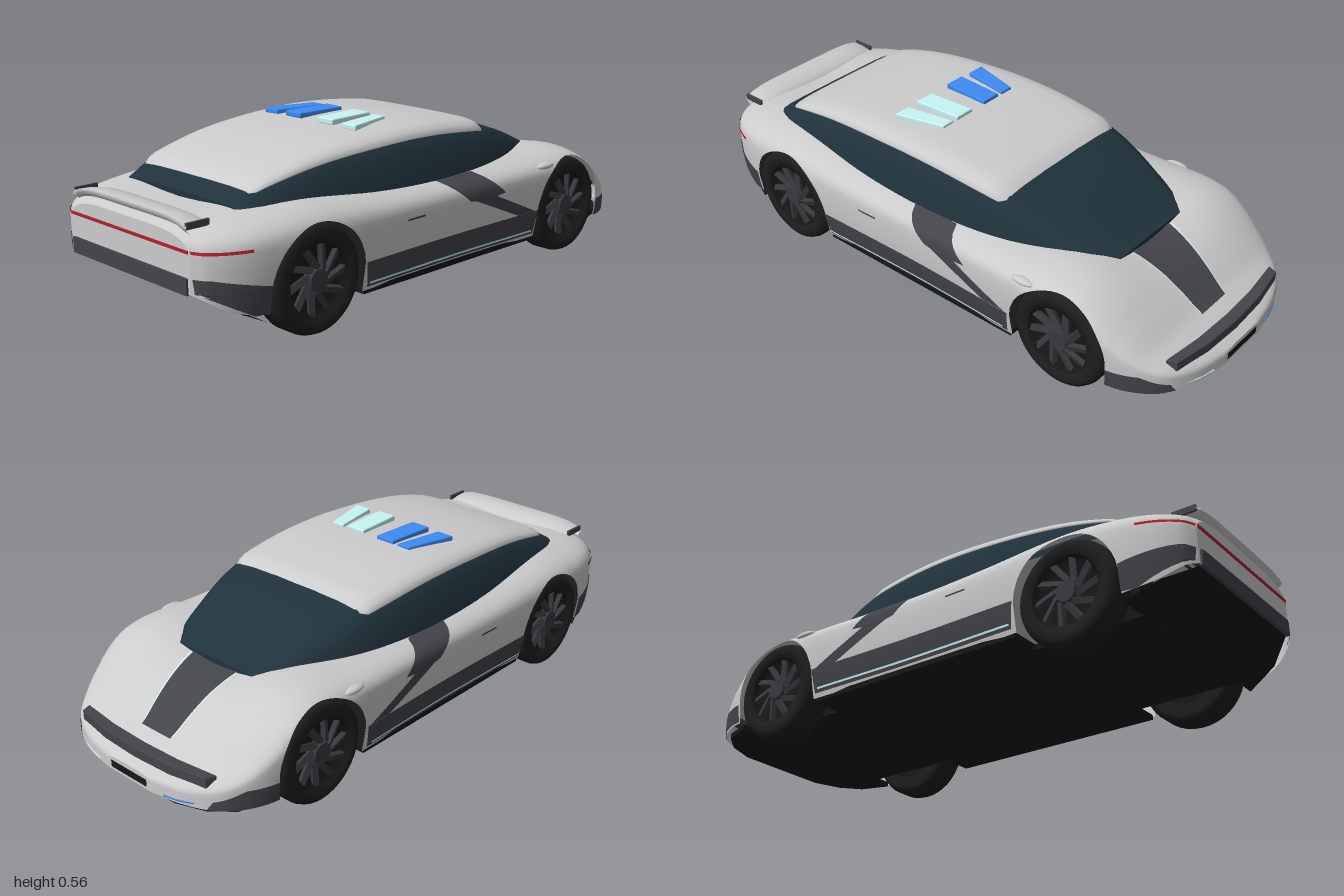
import * as THREE from 'three';

const mat = (color) => new THREE.MeshStandardMaterial({ color, side: THREE.DoubleSide });
const PAINT = mat(0xe6e6e8), GLASS = mat(0x20323c), DARK = mat(0x44454b), BLACK = mat(0x171717);
const RUBBER = mat(0x1e1e1e), RIM = mat(0x38393d), TEAL = mat(0xc8f6f6), BLUE = mat(0x3c8cf6), RED = mat(0xb02030);

// smooth curve through [x, y] pairs, read as y(x)
function curve(p) {
  const m = p.map((_, i) => {
    const a = p[Math.max(i - 1, 0)], b = p[Math.min(i + 1, p.length - 1)];
    return (b[1] - a[1]) / (b[0] - a[0]);
  });
  return (x) => {
    let i = 0;
    while (i < p.length - 2 && x > p[i + 1][0]) i++;
    const d = p[i + 1][0] - p[i][0], t = THREE.MathUtils.clamp((x - p[i][0]) / d, 0, 1);
    const t2 = t * t, t3 = t2 * t;
    return (2 * t3 - 3 * t2 + 1) * p[i][1] + (t3 - 2 * t2 + t) * d * m[i]
      + (3 * t2 - 2 * t3) * p[i + 1][1] + (t3 - t2) * d * m[i + 1];
  };
}

// surface through a grid of points; rows run along u, columns along v
function surface(rows, caps = false) {
  const n = rows[0].length, pos = rows.flat(2), idx = [];
  for (let i = 0; i < rows.length - 1; i++) for (let j = 0; j < n - 1; j++) {
    const a = i * n + j, b = a + n;
    idx.push(a, b, a + 1, b, b + 1, a + 1);
  }
  if (caps) for (const [row, flip] of [[rows[0], false], [rows[rows.length - 1], true]]) {
    const s = pos.length / 3;
    pos.push(...row.flat());
    for (let j = 0; j < n / 2 - 1; j++) {
      const a = s + j, b = s + n - 1 - j;
      if (flip) idx.push(a, b, a + 1, b, b - 1, a + 1);
      else idx.push(a, a + 1, b, b, a + 1, b - 1);
    }
  }
  const g = new THREE.BufferGeometry();
  g.setAttribute('position', new THREE.Float32BufferAttribute(pos, 3));
  g.setIndex(idx);
  g.computeVertexNormals();
  return g;
}

// body rules along the length
const N = 3.4, AXLES = [-0.61, 0.59], WHEEL_R = 0.172, ARCH_R = 0.181;
const width = curve([[-0.99, 0.3], [-0.97, 0.34], [-0.9, 0.39], [-0.8, 0.42], [-0.6, 0.435], [0, 0.428], [0.45, 0.437],
  [0.65, 0.436], [0.8, 0.41], [0.9, 0.355], [0.95, 0.29], [0.985, 0.19], [0.998, 0.1]]);
const top = curve([[-0.99, 0.365], [-0.95, 0.382], [-0.8, 0.405], [-0.6, 0.418], [-0.3, 0.395], [0, 0.385], [0.4, 0.388],
  [0.55, 0.392], [0.65, 0.377], [0.73, 0.338], [0.81, 0.275], [0.87, 0.22], [0.92, 0.19], [0.998, 0.145]]);
const waist = curve([[-0.99, 0.28], [0.5, 0.285], [0.65, 0.285], [0.73, 0.25], [0.8, 0.2], [0.9, 0.155], [0.998, 0.12]]);
const dip = curve([[-0.99, 0.005], [-0.8, 0.02], [-0.4, 0.02], [0.4, 0.038], [0.65, 0.04], [0.8, 0.014], [0.9, 0], [0.998, 0]]);
const sill = curve([[-0.99, 0.19], [-0.9, 0.135], [-0.78, 0.11], [-0.6, 0.095], [0, 0.09], [0.998, 0.095]]);
const lowerEdge = (x) => AXLES.reduce((y, c) => {
  const d = ARCH_R ** 2 - (x - c) ** 2;
  return d > 0 ? Math.max(y, 0.17 + Math.sqrt(d)) : y;
}, sill(x));
const sideZ = (x, y) => {
  const m = waist(x);
  if (y < m) return width(x) * (1 - 1.5 * (m - y) ** 2);
  return width(x) * Math.max(0, 1 - ((y - m) / (top(x) - m)) ** N) ** (1 / N);
};
const hollow = (x, z) => dip(x) * Math.cos(Math.PI / 2 * Math.min(1, Math.abs(z) / (0.75 * width(x)))) ** 2;
const deckY = (x, z) => waist(x) + (top(x) - waist(x)) * Math.max(0, 1 - Math.abs(z / width(x)) ** N) ** (1 / N) - hollow(x, z);
const mirrorRow = (half) => [...half, ...half.slice(0, -1).reverse().map(([x, y, z]) => [x, y, -z])];

function bodyGeometry() {
  const xs = Array.from({ length: 141 }, (_, i) => -0.99 + 1.988 * i / 140);
  for (const c of AXLES) for (const s of [-1, 1]) for (const k of [0.97, 0.995, 0.9999, 1.0001]) xs.push(c + s * k * ARCH_R);
  xs.sort((a, b) => a - b);
  return surface(xs.map((x) => {
    const lo = lowerEdge(x), m = waist(x), t = top(x), y1 = Math.max(lo + 0.015, m), half = [];
    for (let i = 0; i < 8; i++) { const y = lo + (y1 - lo) * i / 8; half.push([x, y, sideZ(x, y)]); }
    const a0 = Math.asin(Math.min(1, ((y1 - m) / (t - m)) ** (N / 2)));
    for (let i = 0; i <= 20; i++) {
      const a = a0 + (Math.PI / 2 - a0) * i / 20, z = i === 20 ? 0 : width(x) * Math.cos(a) ** (2 / N);
      half.push([x, m + (t - m) * Math.sin(a) ** (2 / N) - hollow(x, z), z]);
    }
    return mirrorRow(half);
  }), true);
}

// cabin rules
const cabTop = curve([[-0.8, 0.404], [-0.72, 0.448], [-0.5, 0.505], [-0.2, 0.533], [0, 0.533], [0.2, 0.513], [0.27, 0.498], [0.4, 0.457], [0.63, 0.362]]);
const cabBase = curve([[-0.8, 0.37], [0, 0.355], [0.63, 0.325]]);
const cabWidth = curve([[-0.8, 0.3], [-0.7, 0.325], [-0.5, 0.345], [-0.2, 0.362], [0.1, 0.36], [0.3, 0.34], [0.45, 0.3], [0.63, 0.235]]);
const cabin = (x0, x1, profile, push) => surface(Array.from({ length: 41 }, (_, i) => {
  const u = i / 40, x = x0 + (x1 - x0) * u, p = push * Math.min(1, Math.min(u, 1 - u) * 25) ** 0.5;
  return mirrorRow(profile.map(([k, h]) =>
    [x, cabBase(x) + (cabTop(x) - cabBase(x)) * h + p * h, cabWidth(x) * k + p * k]));
}), true);

// patch lying on a body side, given rows [y, x0, x1]; s = 1 left, -1 right
const sidePatch = (rows, s, off = 0.004) => {
  const out = [], K = 6, M = 16, n = (rows.length - 1) * K;
  for (let i = 0; i <= M; i++) out.push(Array.from({ length: n + 1 }, (_, j) => {
    const r = Math.min(Math.floor(j / K), rows.length - 2), f = j / K - r, u = s > 0 ? i / M : 1 - i / M;
    const [y, a, b] = rows[r].map((q, k) => q + (rows[r + 1][k] - q) * f), x = a + (b - a) * u;
    return [x, y, s * (sideZ(x, y) + off)];
  }));
  return surface(out);
};
// patch lying on the bonnet between z edges za(u) and zb(u)
const bonnetPatch = (x0, x1, za, zb, off) => surface(Array.from({ length: 17 }, (_, i) =>
  Array.from({ length: 9 }, (_, j) => {
    const u = i / 16, x = x0 + (x1 - x0) * u, z = za(u) + (zb(u) - za(u)) * j / 8;
    return [x, deckY(x, z) + off, z];
  })));
// plate cut from an [x, z] outline
const plate = (pts, y, h, bevel = 0) => new THREE.ExtrudeGeometry(new THREE.Shape(pts.map(([x, z]) => new THREE.Vector2(x, -z))),
  { depth: h, bevelEnabled: bevel > 0, bevelSize: bevel, bevelThickness: bevel, bevelSegments: 2 }).rotateX(-Math.PI / 2).translate(0, y, 0);

function wheel() {
  const g = new THREE.Group();
  const lathe = (pts) => new THREE.LatheGeometry(pts.map(([r, y]) => new THREE.Vector2(r, y)), 40).rotateX(Math.PI / 2);
  const put = (name, geo, m) => { const o = new THREE.Mesh(geo, m); o.name = name; g.add(o); };
  put('tyre', lathe([[0.11, -0.055], [0.15, -0.057], [0.166, -0.048], [WHEEL_R, -0.03], [WHEEL_R, 0.03], [0.166, 0.046], [0.15, 0.055], [0.118, 0.053], [0.112, 0.03]]), RUBBER);
  put('rimDish', lathe([[0, 0.025], [0.1, 0.02], [0.113, 0.05], [0.12, 0.053]]), BLACK);
  put('innerFace', new THREE.CircleGeometry(0.115, 32).rotateY(Math.PI).translate(0, 0, -0.052), BLACK);
  put('hub', new THREE.CylinderGeometry(0.034, 0.042, 0.03, 20).rotateX(Math.PI / 2).translate(0, 0, 0.037), RIM);
  for (let i = 0; i < 10; i++)
    put('spoke', new THREE.BoxGeometry(0.085, 0.02, 0.016).rotateX(0.35).rotateZ(0.35).translate(0.072, 0, 0.037).rotateZ(i * Math.PI / 5), RIM);
  return g;
}

export function createModel() {
  const car = new THREE.Group();
  car.name = 'car';
  const add = (name, geo, m) => { const o = new THREE.Mesh(geo, m); o.name = name; car.add(o); return o; };
  const box = (name, w, h, d, x, y, z, m) => add(name, new THREE.BoxGeometry(w, h, d).translate(x, y, z), m);

  add('bodyShell', bodyGeometry(), PAINT);
  add('glassCanopy', cabin(-0.8, 0.635, [[1, 0], [0.97, 0.3], [0.92, 0.6], [0.86, 0.82], [0.77, 0.93], [0.55, 0.985], [0.25, 1], [0, 1]], 0), GLASS);
  add('roof', cabin(-0.74, 0.275, [[0.8, 0.72], [0.83, 0.73], [0.838, 0.78], [0.81, 0.87], [0.75, 0.94], [0.64, 0.98], [0.4, 0.995], [0, 1]], 0.013), PAINT);

  // underbody with wheel notches, rising to the tail
  const half = [[0.975, 0.18], [0.94, 0.28], [0.88, 0.35], [0.775, 0.385], [0.775, 0.3], [0.4, 0.3], [0.4, 0.41],
    [-0.42, 0.41], [-0.42, 0.3], [-0.8, 0.3]];
  add('floor', plate([...half, ...half.map(([x, z]) => [x, -z]).reverse()], 0.08, 0.018), BLACK);
  add('rearDiffuser', surface([[-0.99, 0.192], [-0.9, 0.137], [-0.795, 0.085]].map(([x, y]) =>
    [1, -1].map((s) => [x, y, s * (width(x) - 0.02)]))), BLACK);

  // wheels, each in a flat-bottomed well
  const well = new THREE.Shape().absarc(0, 0, ARCH_R + 0.002, -0.44, Math.PI + 0.44, false);
  for (const c of AXLES) for (const s of [1, -1]) {
    add('wheelWell', new THREE.ExtrudeGeometry(well, { depth: 0.12, bevelEnabled: false, curveSegments: 32 })
      .translate(c, 0.17, s > 0 ? 0.18 : -0.3), BLACK);
    const w = wheel();
    w.name = (c > 0 ? 'front' : 'rear') + 'Wheel';
    w.position.set(c, WHEEL_R, s * 0.366);
    if (s < 0) w.rotation.y = Math.PI;
    car.add(w);
  }

  // trim on both sides
  for (const s of [1, -1]) {
    add('sideStripe', sidePatch([[0.19, 0.3, 0.39], [0.283, 0.08, 0.18], [0.288, 0.05, 0.225], [0.365, -0.05, 0.13]], s), DARK);
    add('sideSkirt', sidePatch([[0.105, -0.415, 0.395], [0.19, -0.428, 0.404]], s, 0.005), DARK);
    add('sillLight', sidePatch([[0.115, -0.41, 0.38], [0.122, -0.41, 0.38]], s, 0.009), TEAL);
    add('rearBumperSide', sidePatch([[0.195, -0.985, -0.792], [0.2, -0.985, -0.792], [0.238, -0.988, -0.96]], s), DARK);
    add('rearBumperLower', sidePatch([[0.115, -0.84, -0.792], [0.195, -0.985, -0.792]], s), DARK);
    add('tailLightSide', sidePatch([[0.31, -0.989, -0.85], [0.319, -0.989, -0.85]], s, 0.005), RED);
    add('frontBumperCorner', sidePatch([[0.096, 0.77, 0.95], [0.125, 0.773, 0.94], [0.16, 0.773, 0.87]], s), DARK);
    add('doorHandle', sidePatch([[0.283, -0.25, -0.17], [0.289, -0.25, -0.17]], s), DARK);
    const mirror = add('sideMirror', new THREE.SphereGeometry(1, 20, 12), PAINT);
    mirror.scale.set(0.042, 0.012, 0.016);
    mirror.position.set(0.455, 0.338, s * 0.422);
    add('bonnetLight', bonnetPatch(0.64, 0.88, (u) => s * (0.104 - 0.036 * u) - 0.002, (u) => s * (0.104 - 0.036 * u) + 0.002, 0.005), TEAL);
    add('frontLight', new THREE.TubeGeometry(new THREE.CatmullRomCurve3([[0.945, 0.112, 0.29], [0.975, 0.106, 0.22], [0.99, 0.102, 0.15]]
      .map(([x, y, z]) => new THREE.Vector3(x, y, s * z))), 10, 0.004, 6), s > 0 ? TEAL : BLUE);
    // roof lights
    const lamp = s > 0 ? TEAL : BLUE;
    add('outerRoofLight', plate([[-0.265, s * 0.16], [-0.265, s * 0.215], [-0.095, s * 0.17], [-0.095, s * 0.128]], 0.542, 0.011, 0.004), lamp);
    add('innerRoofLight', plate([[-0.265, s * 0.045], [-0.265, s * 0.11], [-0.095, s * 0.1], [-0.095, s * 0.035]], 0.545, 0.012, 0.004), lamp);
    box('wingEnd', 0.08, 0.02, 0.008, -0.945, 0.385, s * 0.281, DARK);
  }

  // front and rear details
  add('bonnetStripe', bonnetPatch(0.62, 0.885, (u) => 0.102 - 0.036 * u, (u) => -0.102 + 0.036 * u, 0.004), DARK);
  add('frontBar', plate([[0.912, 0.295], [0.94, 0.285], [0.963, 0.15], [0.97, 0], [0.963, -0.15], [0.94, -0.285], [0.912, -0.295],
    [0.93, -0.15], [0.935, 0], [0.93, 0.15]], 0.165, 0.03, 0.003), DARK);
  box('frontPlate', 0.012, 0.024, 0.165, 0.993, 0.117, 0, BLACK);
  // wing with ends curving down into the tail
  add('rearWing', surface([[-0.89, 0.38], [-0.905, 0.396], [-0.945, 0.404], [-0.985, 0.406], [-0.992, 0.396], [-0.97, 0.38]].map(([x, y]) =>
    Array.from({ length: 21 }, (_, i) => { const v = 1 - i / 10; return [x, y - 0.022 * v ** 6, -0.285 * v]; }))), PAINT);
  add('rearLip', plate([[-0.999, 0.28], [-0.94, 0.31], [-0.94, -0.31], [-0.999, -0.28]], 0.228, 0.01), DARK);
  box('rearBumper', 0.012, 0.05, 0.58, -0.991, 0.212, 0, DARK);
  box('tailLight', 0.006, 0.009, 0.59, -0.991, 0.3145, 0, RED);
  return car;
}
